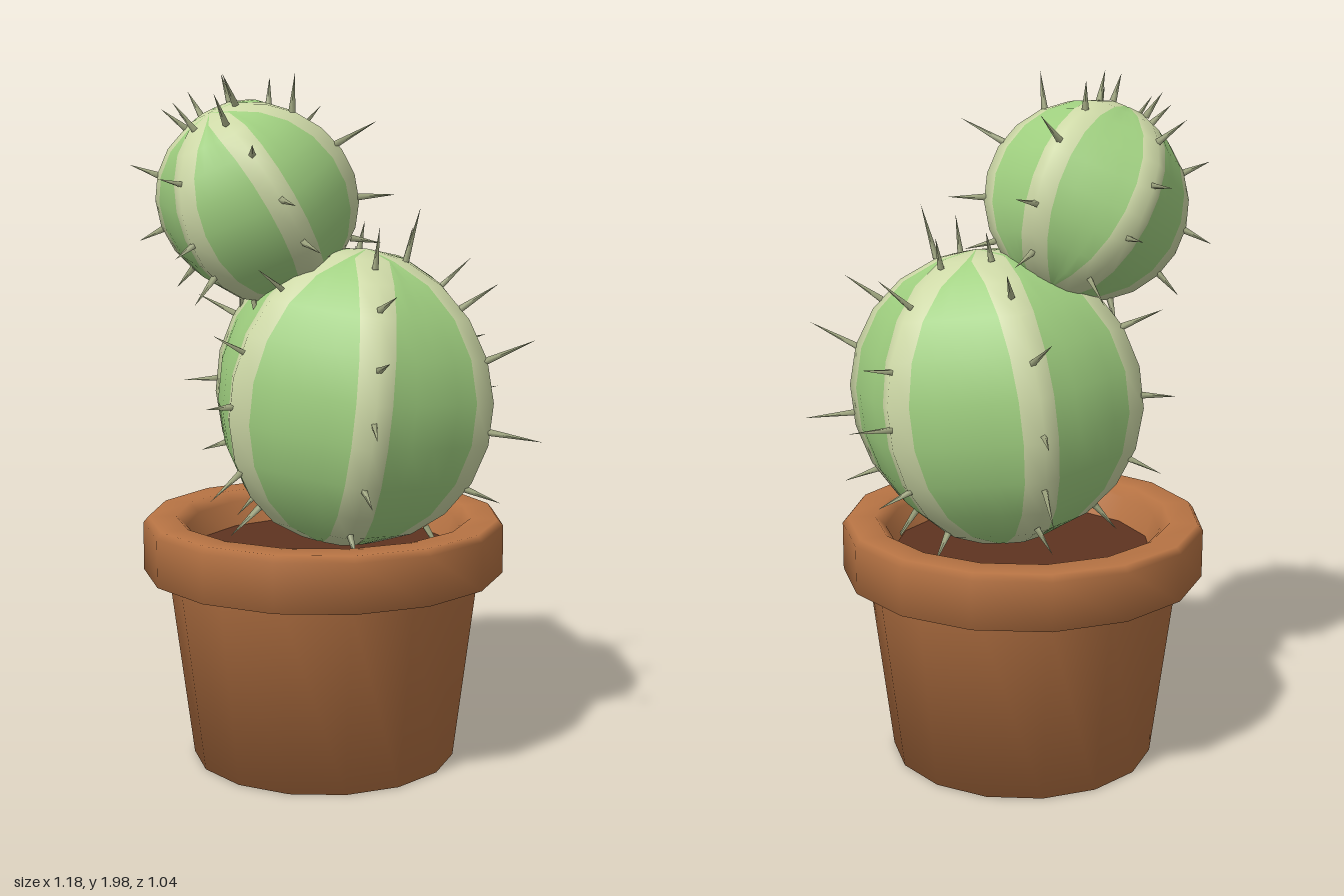
import * as THREE from 'three';
import { mergeGeometries } from 'three/addons/utils/BufferGeometryUtils.js';

const mat = (name, color, side = THREE.FrontSide) => {
  const m = new THREE.MeshStandardMaterial({ color, side });
  m.name = name;
  return m;
};

const RIBS = 6, ROWS = 11, COLS = 6;

// Small repeatable random source for the spines
function seeded(seed) {
  return () => {
    seed = (seed * 16807) % 2147483647;
    return seed / 2147483647;
  };
}

// Point on a ribbed ball: theta runs from the top pole, phi around it
function ballPoint(radii, theta, phi, ratio) {
  const r = Math.sin(theta) * ratio;
  return new THREE.Vector3(
    radii[0] * r * Math.cos(phi),
    radii[1] * Math.cos(theta),
    -radii[2] * r * Math.sin(phi));
}

// Ribbed ball; group 0 is the green flesh, group 1 the pale rib bands
function ballGeometry(radii, band) {
  const pos = [0, radii[1], 0], faces = [[], []];
  const step = (Math.PI * 2) / RIBS, n = RIBS * COLS;
  const ratios = [1, 0.93, 0.895, 0.88, 0.895, 0.93];
  for (let i = 1; i < ROWS; i++) {
    const theta = (Math.PI * i) / ROWS;
    const s = Math.min(step * 0.44, band / (radii[0] * Math.sin(theta)));
    const mid = (s + step / 2) / 2;
    const offsets = [0, s, mid, step / 2, step - mid, step - s];
    for (let j = 0; j < n; j++) {
      const phi = Math.floor(j / COLS) * step + offsets[j % COLS];
      pos.push(...ballPoint(radii, theta, phi, ratios[j % COLS]).toArray());
    }
  }
  pos.push(0, -radii[1], 0);
  const last = pos.length / 3 - 1;
  const id = (i, j) => 1 + (i - 1) * n + (j % n);
  for (let j = 0; j < n; j++) {
    const k = j % COLS;
    const list = faces[k === 0 || k === COLS - 1 ? 1 : 0];
    list.push(0, id(1, j), id(1, j + 1));
    for (let i = 1; i < ROWS - 1; i++) {
      const a = id(i, j), b = id(i + 1, j), c = id(i + 1, j + 1), d = id(i, j + 1);
      list.push(a, b, c, a, c, d);
    }
    list.push(id(ROWS - 1, j), last, id(ROWS - 1, j + 1));
  }
  const geo = new THREE.BufferGeometry();
  geo.setAttribute('position', new THREE.Float32BufferAttribute(pos, 3));
  geo.setIndex([...faces[0], ...faces[1]]);
  geo.addGroup(0, faces[0].length, 0);
  geo.addGroup(faces[0].length, faces[1].length, 1);
  geo.computeVertexNormals();
  return geo;
}

// Thin thorns standing along every rib
function spineGeometry(radii, length, perRib, seed) {
  const rnd = seeded(seed), parts = [];
  const up = new THREE.Vector3(0, 1, 0);
  for (let rib = 0; rib < RIBS; rib++) {
    for (let k = 0; k < perRib; k++) {
      const theta = 0.35 + (k + 0.3 * (rnd() - 0.5)) * (2.1 / (perRib - 1));
      const phi = (rib * Math.PI * 2) / RIBS;
      const base = ballPoint(radii, theta, phi, 0.98);
      const dir = base.clone().normalize();
      dir.x += (rnd() - 0.5) * 0.6;
      dir.y += (rnd() - 0.5) * 0.6;
      dir.z += (rnd() - 0.5) * 0.6;
      dir.normalize();
      const len = length * (0.75 + 0.5 * rnd()) * (rib === 0 ? 1.25 : 1);
      const cone = new THREE.ConeGeometry(0.01, len, 4);
      cone.translate(0, len / 2, 0);
      cone.applyQuaternion(new THREE.Quaternion().setFromUnitVectors(up, dir));
      cone.translate(base.x, base.y, base.z);
      parts.push(cone);
    }
  }
  return mergeGeometries(parts);
}

export function createModel() {
  const model = new THREE.Group();
  model.name = 'pottedCactus';

  const terracotta = mat('terracotta', 0xb87444);
  const earth = mat('soil', 0x5e3320);
  const green = mat('cactusGreen', 0xa0d080);
  const pale = mat('paleRib', 0xcdd8a6);
  const thorn = mat('thorn', 0xa9b088);

  const add = (parent, name, geo, material) => {
    const mesh = new THREE.Mesh(geo, material);
    mesh.name = name;
    parent.add(mesh);
    return mesh;
  };

  // Pot with a thick rolled rim, fifteen sided
  const start = THREE.MathUtils.degToRad(9.3);
  const profile = [
    [0, 0], [0.385, 0], [0.455, 0.56], [0.525, 0.56], [0.525, 0.7],
    [0.51, 0.718], [0.43, 0.718], [0.4, 0.69], [0.365, 0.58],
  ].map(([x, y]) => new THREE.Vector2(x, y));
  const pot = add(model, 'pot', new THREE.LatheGeometry(profile, 15, start), terracotta);
  pot.position.x = -0.055;

  // Soil surface
  const soilGeo = new THREE.CircleGeometry(0.378, 15);
  soilGeo.rotateX(-Math.PI / 2);
  soilGeo.rotateY(start - Math.PI / 2);
  add(model, 'soil', soilGeo, earth).position.set(-0.055, 0.62, 0);

  // Each ball has its own growing axis and first rib direction
  const addBall = ({ name, center, axis, rib, radii, band, spine, perRib, seed }) => {
    const ball = new THREE.Group();
    ball.name = name;
    const y = new THREE.Vector3(...axis).normalize();
    const x = new THREE.Vector3(...rib);
    x.addScaledVector(y, -x.dot(y)).normalize();
    const z = new THREE.Vector3().crossVectors(x, y);
    ball.quaternion.setFromRotationMatrix(new THREE.Matrix4().makeBasis(x, y, z));
    ball.position.set(...center);
    add(ball, name + 'Flesh', ballGeometry(radii, band), [green, pale]);
    add(ball, name + 'Spines', spineGeometry(radii, spine, perRib, seed), thorn);
    model.add(ball);
  };

  addBall({
    name: 'lowerBall', center: [0.03, 1.07, 0], axis: [0.12, 1, 0], rib: [1, 0, 0],
    radii: [0.435, 0.43, 0.39], band: 0.055, spine: 0.11, perRib: 6, seed: 71,
  });
  addBall({
    name: 'upperBall', center: [-0.215, 1.63, 0.1], axis: [-0.3, 0.86, 0.41], rib: [0.28, 0.12, -0.045],
    radii: [0.292, 0.285, 0.292], band: 0.045, spine: 0.09, perRib: 5, seed: 1234,
  });

  return model;
}
